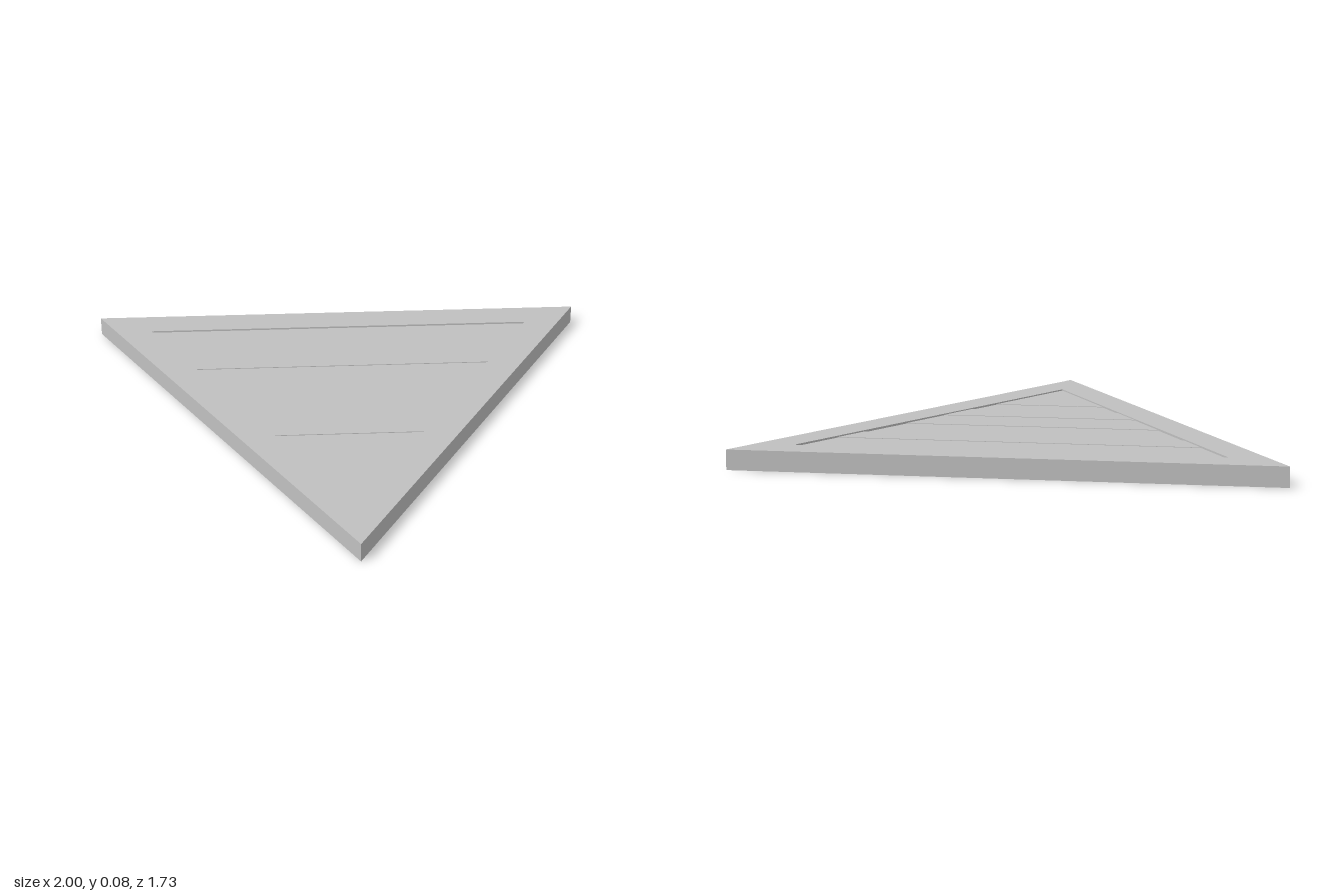
import * as THREE from 'three';

const HEIGHT = 0.075;
const BACK = -0.866;
const APEX = 0.866;
const BORDER = 0.125;
const INNER_BACK = BACK + BORDER;
const INNER_APEX = APEX - BORDER * 2;

// half width of the inner opening at depth z
const innerHalf = (z) => (INNER_APEX - z) / Math.sqrt(3);

// closed outline in (x, z); the shape's y is -z so that it extrudes upwards
const outline = (points, Type = THREE.Shape) =>
  new Type(points.map(([x, z]) => new THREE.Vector2(x, -z)));

function slab(name, shape, bottom, top, material) {
  const geometry = new THREE.ExtrudeGeometry(shape, { depth: top - bottom, bevelEnabled: false });
  geometry.rotateX(-Math.PI / 2);
  const mesh = new THREE.Mesh(geometry, material);
  mesh.name = name;
  mesh.position.y = bottom;
  return mesh;
}

export function createModel() {
  const model = new THREE.Group();
  model.name = 'triangularPanel';
  const grey = new THREE.MeshStandardMaterial({ color: 0xc0c0c0 });
  grey.name = 'plain grey';

  // triangular border frame
  const border = outline([[-1, BACK], [0, APEX], [1, BACK]]);
  const h = innerHalf(INNER_BACK);
  border.holes.push(outline([[-h, INNER_BACK], [h, INNER_BACK], [0, INNER_APEX]], THREE.Path));
  model.add(slab('frame', border, 0, HEIGHT, grey));

  // planks filling the opening, each set at a slightly different height
  const planks = new THREE.Group();
  planks.name = 'planks';
  const seams = [INNER_BACK, -0.545, -0.42, -0.22, -0.03, 0.11, 0.245, INNER_APEX];
  const drops = [0.007, 0.005, 0.008, 0.006, 0.004, 0.007, 0.005];
  drops.forEach((drop, i) => {
    const [z0, z1] = [seams[i], seams[i + 1]];
    const [w0, w1] = [innerHalf(z0), innerHalf(z1)];
    const points = [[-w0, z0], [-w1, z1], [w1, z1], [w0, z0]];
    if (w1 < 0.001) points.splice(2, 1);
    planks.add(slab('plank' + (i + 1), outline(points), 0.055 - drop, HEIGHT - drop, grey));
  });
  model.add(planks);

  // centre beam under the planks, from the back rail to the front corner
  const b = 0.05;
  const zEnd = INNER_APEX - b * Math.sqrt(3);
  model.add(slab('centreBeam',
    outline([[-b, INNER_BACK], [-b, zEnd], [0, INNER_APEX], [b, zEnd], [b, INNER_BACK]]),
    0.002, 0.055, grey));

  return model;
}
